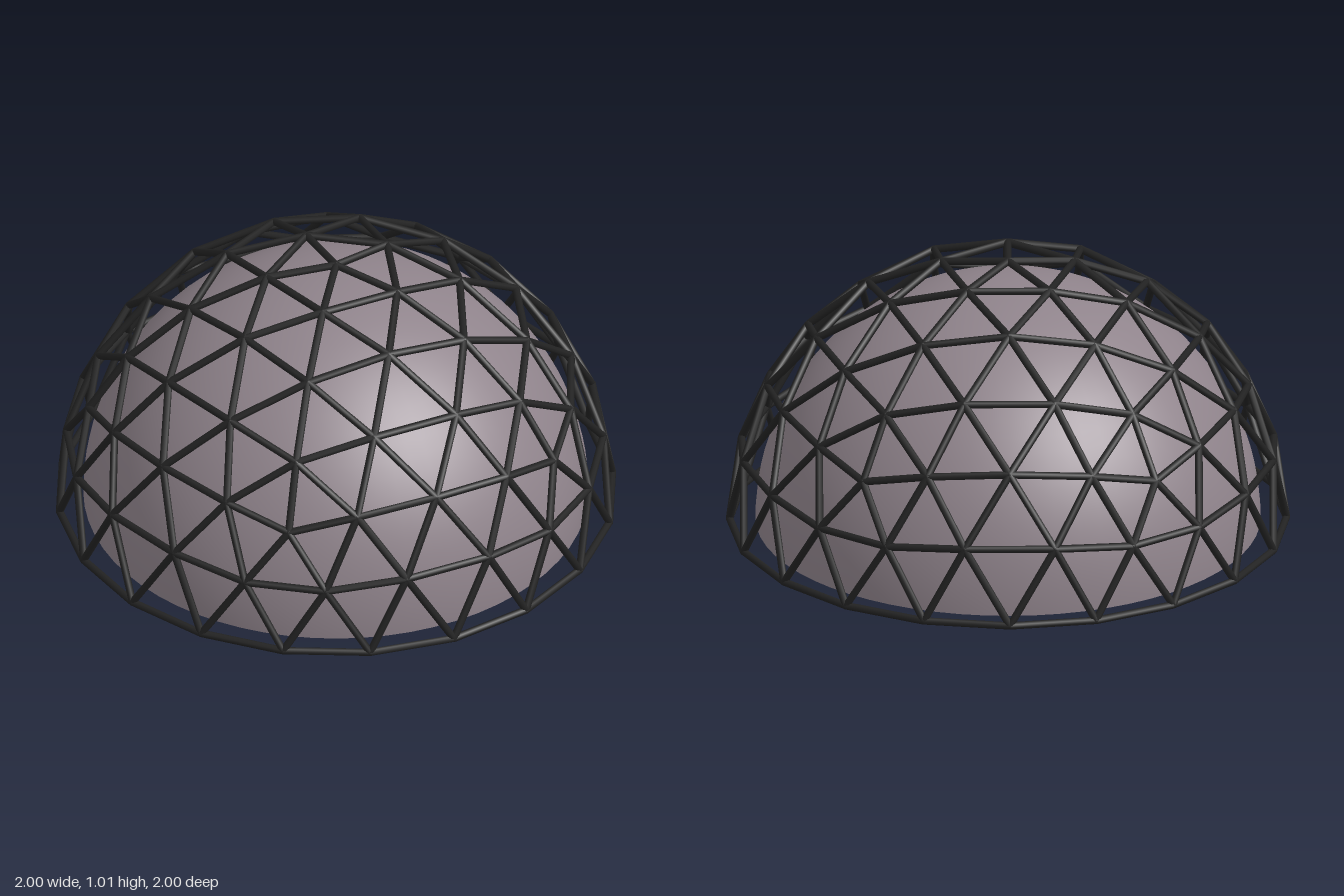
import * as THREE from 'three';
import { mergeGeometries } from 'three/addons/utils/BufferGeometryUtils.js';

const FREQ = 4;        // subdivisions of each icosahedron edge
const R = 0.986;       // frame radius
const STRUT = 0.0135;  // strut radius
const BASE = 0.0135;   // height of the base ring centre
const SHELL = 0.895;   // inner shell radius

// Point on the unit sphere; azimuth is measured from +z towards +x
function polar(y, degrees) {
  const a = THREE.MathUtils.degToRad(degrees), r = Math.sqrt(1 - y * y);
  return new THREE.Vector3(Math.sin(a) * r, y, Math.cos(a) * r);
}

// Icosahedron faces that reach above the equator
function upperFaces() {
  const h = 1 / Math.sqrt(5), apex = new THREE.Vector3(0, 1, 0), faces = [];
  for (let k = 0; k < 5; k++) {
    const u0 = polar(h, 72 * k), u1 = polar(h, 72 * (k + 1));
    const l0 = polar(-h, 72 * k - 36), l1 = polar(-h, 72 * k + 36);
    faces.push([apex, u0, u1], [u0, l1, u1], [u0, l0, l1]);
  }
  return faces;
}

// Unique nodes and edges of the subdivided hemisphere
function geodesicNet() {
  const nodes = new Map(), edges = new Map();
  const keyOf = (p) => p.toArray().map((v) => Math.round(v * 1000)).join(',');
  const link = (p, q) => {
    if (p.y < -1e-4 || q.y < -1e-4) return;
    const a = keyOf(p), b = keyOf(q);
    nodes.set(a, p).set(b, q);
    edges.set(a < b ? a + '|' + b : b + '|' + a, [p, q]);
  };
  for (const [a, b, c] of upperFaces()) {
    const at = (i, j) => new THREE.Vector3()
      .addScaledVector(a, FREQ - i - j).addScaledVector(b, i).addScaledVector(c, j)
      .normalize().multiplyScalar(R);
    for (let i = 0; i < FREQ; i++) {
      for (let j = 0; j < FREQ - i; j++) {
        const p = at(i, j), q = at(i + 1, j), s = at(i, j + 1);
        link(p, q);
        link(q, s);
        link(s, p);
      }
    }
  }
  return { nodes: [...nodes.values()], edges: [...edges.values()] };
}

// Round bar between two points
function strut(p, q) {
  const dir = q.clone().sub(p), len = dir.length();
  const turn = new THREE.Quaternion().setFromUnitVectors(new THREE.Vector3(0, 1, 0), dir.divideScalar(len));
  const mid = p.clone().add(q).multiplyScalar(0.5);
  return new THREE.CylinderGeometry(STRUT, STRUT, len, 8, 1, true)
    .applyQuaternion(turn).translate(mid.x, mid.y, mid.z);
}

export function createModel() {
  const group = new THREE.Group();
  const { nodes, edges } = geodesicNet();
  const dark = new THREE.MeshStandardMaterial({ color: 0x222222 });

  // Lattice of struts
  const struts = new THREE.Mesh(mergeGeometries(edges.map(([p, q]) => strut(p, q))), dark);
  struts.name = 'frameStruts';

  // Small round joints closing the strut ends
  const joints = new THREE.Mesh(mergeGeometries(nodes.map((p) =>
    new THREE.SphereGeometry(STRUT, 10, 8).translate(p.x, p.y, p.z))), dark);
  joints.name = 'frameJoints';

  // Smooth open hemisphere inside the frame
  const shell = new THREE.Mesh(
    new THREE.SphereGeometry(SHELL, 64, 24, 0, Math.PI * 2, 0, Math.PI / 2),
    new THREE.MeshStandardMaterial({ color: 0x8f838b, side: THREE.DoubleSide })
  );
  shell.name = 'innerShell';

  for (const mesh of [struts, joints, shell]) {
    mesh.position.y = BASE;
    group.add(mesh);
  }
  group.name = 'geodesicDome';
  return group;
}
